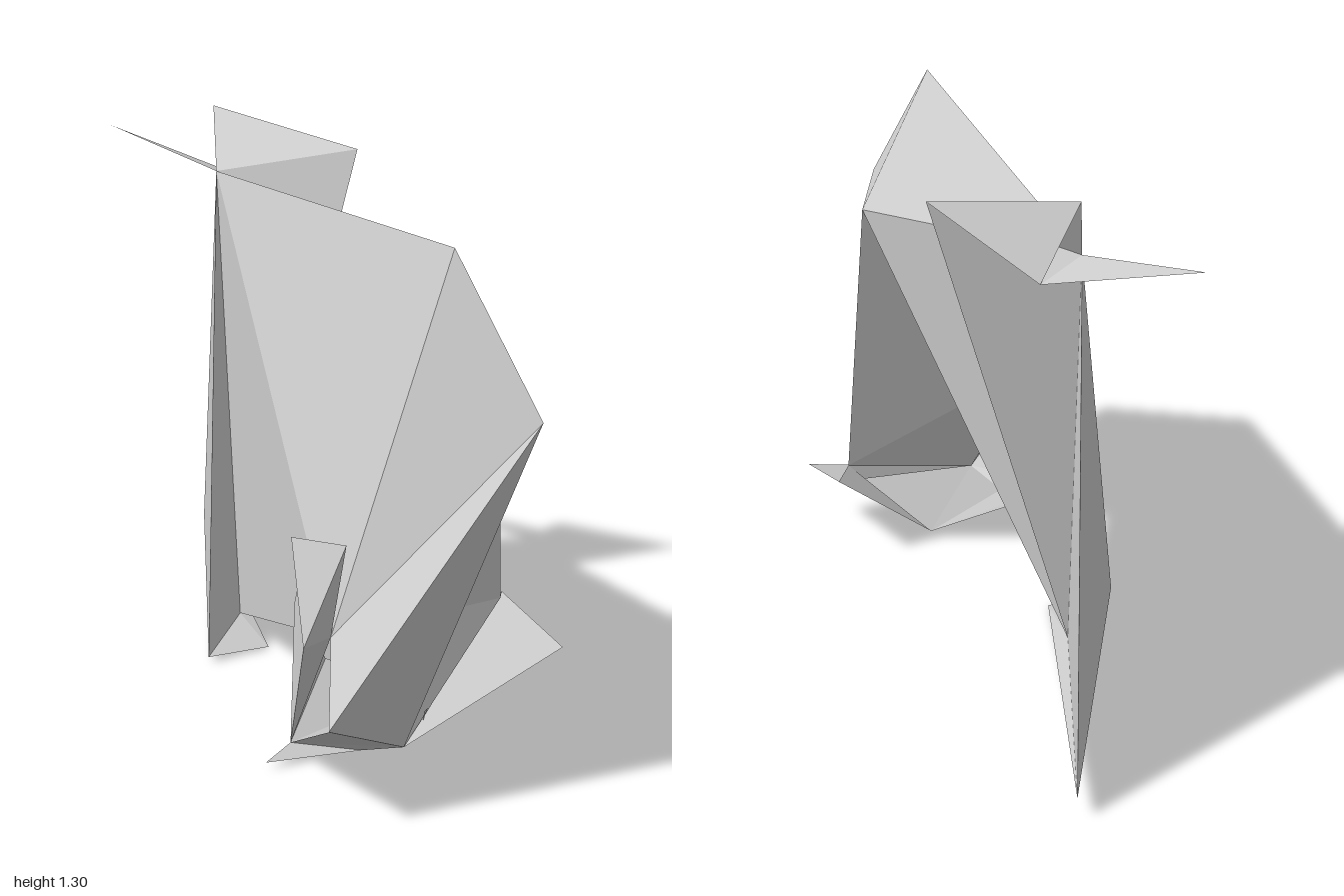
import * as THREE from 'three';

// Shared corners of the faceted figure
const P = {
  breast: [-0.42, 0.235, 0.98], brow: [0.1, 0.857, 1.0], shoulder: [0.27, 0.905, 0.57],
  crown: [0.025, 1.204, 0.75], rump: [0.113, 1.153, -0.55], flank: [-0.255, 0.33, 0.7],
  toe: [-0.08, 0.042, 0.735], belly: [0.03, 0.03, -0.27],
  tailTip: [0.3, 0.055, -1.0], heel: [-0.18, 0.02, -0.045], sole: [0.0, 0.01, -0.06],
  flapSide: [0.388, 1.228, -0.29], flapTop: [0.15, 1.311, -0.635], flapBack: [0.23, 1.115, -0.595],
  spikeTip: [-0.015, 1.23, -0.93],
  footTop: [0.363, 0.241, 0.455], footOut: [0.415, 0.168, 0.65], footBack: [0.41, 0.23, 0.39],
  footLow: [0.15, 0.028, 0.415], footUnder: [-0.13, 0.006, 0.63],
  finA: [-0.318, 0.557, 0.63], finB: [-0.245, 0.56, 0.75], finC: [-0.345, 0.33, 0.735],
  finD: [-0.22, 0.474, 0.62], finE: [-0.21, 0.44, 0.49], finF: [-0.17, 0.295, 0.38],
  finLow: [-0.28, 0.03, 0.56], finIn: [-0.05, 0.115, 0.32], sliver: [-0.378, 0.022, 0.62],
  clawA: [-0.02, 0.115, 0.725], clawB: [0.005, 0.11, 0.7], clawC: [0.005, 0.07, 0.68],
};

const material = new THREE.MeshStandardMaterial({
  color: 0xcccccc, flatShading: true, side: THREE.DoubleSide,
});

// Builds one thin faceted part from triangles given as corner names
function facets(name, triangles) {
  const geometry = new THREE.BufferGeometry();
  const corners = triangles.flatMap((t) => t.split(' ').flatMap((k) => P[k]));
  geometry.setAttribute('position', new THREE.Float32BufferAttribute(corners, 3));
  geometry.computeVertexNormals();
  const mesh = new THREE.Mesh(geometry, material);
  mesh.name = name;
  return mesh;
}

export function createModel() {
  const model = new THREE.Group();
  model.name = 'facetedAnimal';
  model.add(
    // Front of the body
    facets('chest', [
      'breast toe brow', 'toe shoulder brow', 'brow shoulder crown',
      'brow crown flank', 'brow flank breast', 'breast flank toe',
    ]),
    // Back and sides, open underneath
    facets('body', [
      'crown shoulder rump', 'shoulder belly rump',
      'crown rump flank', 'rump belly flank', 'shoulder flank footTop',
    ]),
    // Hind wedge
    facets('hindquarters', [
      'rump belly tailTip', 'rump tailTip heel', 'rump heel belly',
    ]),
    facets('hindFoot', [
      'belly heel sole', 'heel tailTip sole', 'sole tailTip belly',
    ]),
    // Flap and spike at the top of the rump
    facets('flap', [
      'flapSide belly rump', 'flapSide rump flapTop',
      'flapSide flapTop flapBack', 'flapSide flapBack rump',
    ]),
    facets('spike', ['rump flapBack spikeTip']),
    // Left front foot
    facets('frontFoot', [
      'toe footTop flank', 'toe footOut footBack', 'toe footBack footTop',
      'footOut footLow footBack', 'toe footLow footOut',
      'toe footUnder footLow', 'footTop footBack footLow',
    ]),
    // Right fin and its base
    facets('fin', [
      'finA finC finB', 'finA finB finD', 'finA finE finC', 'finA finD finE',
      'finB finC flank', 'finB flank finD', 'finC finE finLow', 'finE finF finLow',
      'finE finF flank', 'finF finIn finLow', 'finC finLow flank',
    ]),
    facets('finBase', [
      'finLow finIn footLow', 'finLow footLow footUnder', 'finLow footUnder toe',
      'finLow toe breast', 'sliver finLow footUnder',
    ]),
    facets('claw', ['clawA clawB clawC']),
  );
  return model;
}
